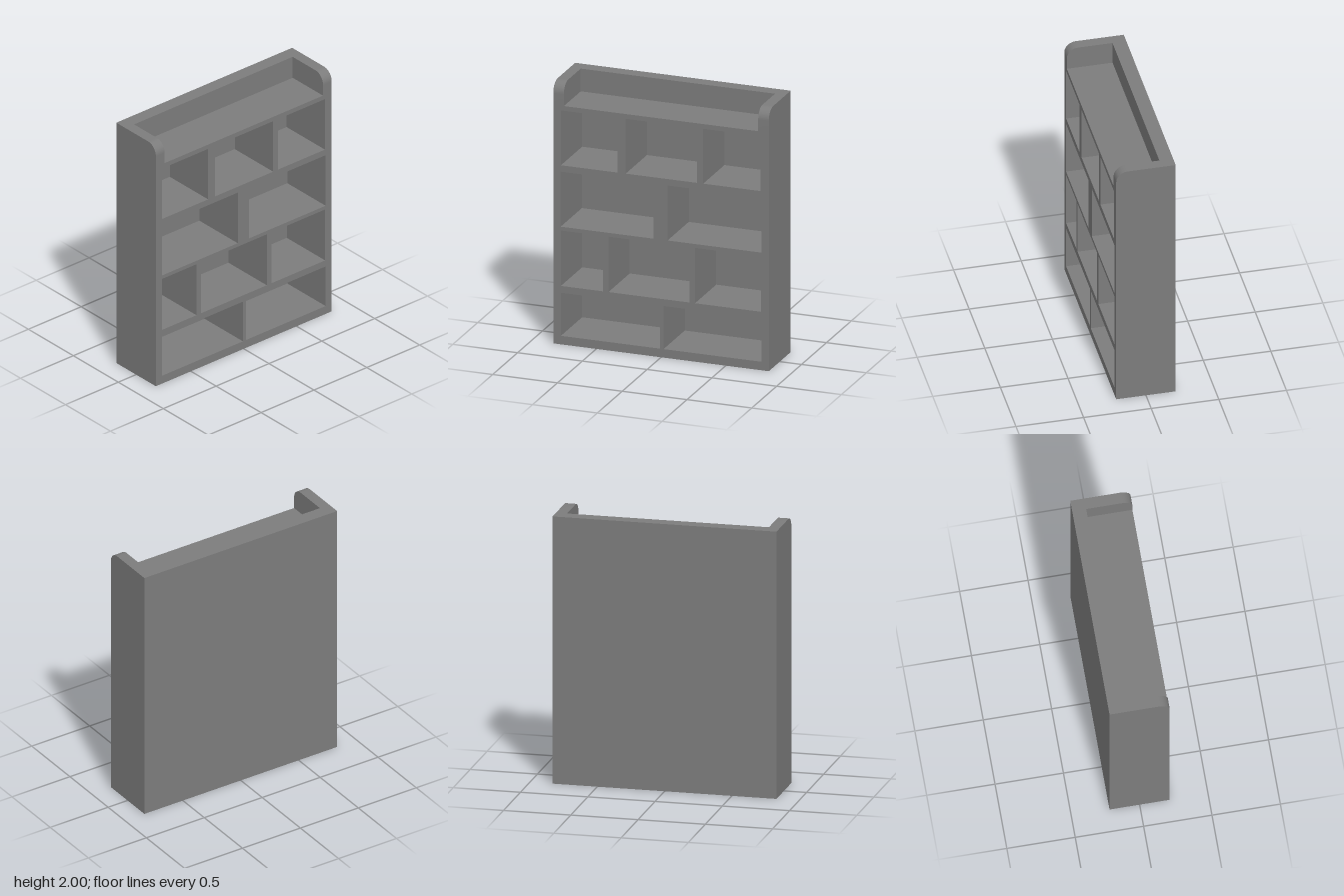
import * as THREE from 'three';
import { toCreasedNormals } from 'three/addons/utils/BufferGeometryUtils.js';

const W = 0.832, D = 0.22, H = 2;  // half width, half depth, height
const DECK = 1.826;                // height of the top tray floor
const INNER = 0.75;                // half width of the tray
const BACK = -0.207;               // rear wall of the compartments

// Each row: bottom, top, then [left, right] of every compartment
const ROWS = [
  { y0: 0.065, y1: 0.395, cells: [[-0.773, -0.008], [0.019, 0.775]] },
  { y0: 0.447, y1: 0.871, cells: [[-0.773, -0.447], [-0.406, 0.218], [0.262, 0.77]] },
  { y0: 0.9, y1: 1.321, cells: [[-0.775, -0.057], [0.05, 0.775]] },
  { y0: 1.37, y1: 1.79, cells: [[-0.773, -0.337], [-0.273, 0.278], [0.325, 0.768]] },
];

export function createModel() {
  const group = new THREE.Group();
  const material = new THREE.MeshStandardMaterial({ color: 0x7c7c7c });

  const add = (name, geometry, x = 0, y = 0, z = 0) => {
    const mesh = new THREE.Mesh(geometry, material);
    mesh.name = name;
    mesh.position.set(x, y, z);
    group.add(mesh);
    return mesh;
  };
  const trace = (path, x0, y0, x1, y1) => {
    path.moveTo(x0, y0);
    path.lineTo(x1, y0);
    path.lineTo(x1, y1);
    path.lineTo(x0, y1);
    path.closePath();
    return path;
  };

  // Shelf body with all compartments cut through
  const body = trace(new THREE.Shape(), -W, 0, W, DECK);
  for (const { y0, y1, cells } of ROWS)
    for (const [x0, x1] of cells) body.holes.push(trace(new THREE.Path(), x0, y0, x1, y1));
  add('shelfBody', new THREE.ExtrudeGeometry(body, { depth: D - BACK, bevelEnabled: false }), 0, 0, BACK);

  // Thin panel closing the back
  add('backPanel', new THREE.BoxGeometry(2 * W, DECK, D + BACK), 0, DECK / 2, (BACK - D) / 2);

  // Rail behind the top tray
  add('topRail', new THREE.BoxGeometry(2 * INNER, H - DECK, 0.102), 0, (H + DECK) / 2, -D + 0.051);

  // Tray cheeks with a rounded upper front corner; profile x runs towards the back
  const r = 0.085;
  const cheek = new THREE.Shape();
  cheek.moveTo(-D, DECK);
  cheek.lineTo(D, DECK);
  cheek.lineTo(D, H);
  cheek.lineTo(-D + r, H);
  cheek.absarc(-D + r, H - r, r, Math.PI / 2, Math.PI, false);
  cheek.closePath();
  const cheekGeometry = toCreasedNormals(
    new THREE.ExtrudeGeometry(cheek, { depth: W - INNER, bevelEnabled: false, curveSegments: 12 }), 0.5);
  for (const [name, x] of [['leftCheek', INNER], ['rightCheek', -W]])
    add(name, cheekGeometry, x).rotation.y = Math.PI / 2;

  return group;
}
